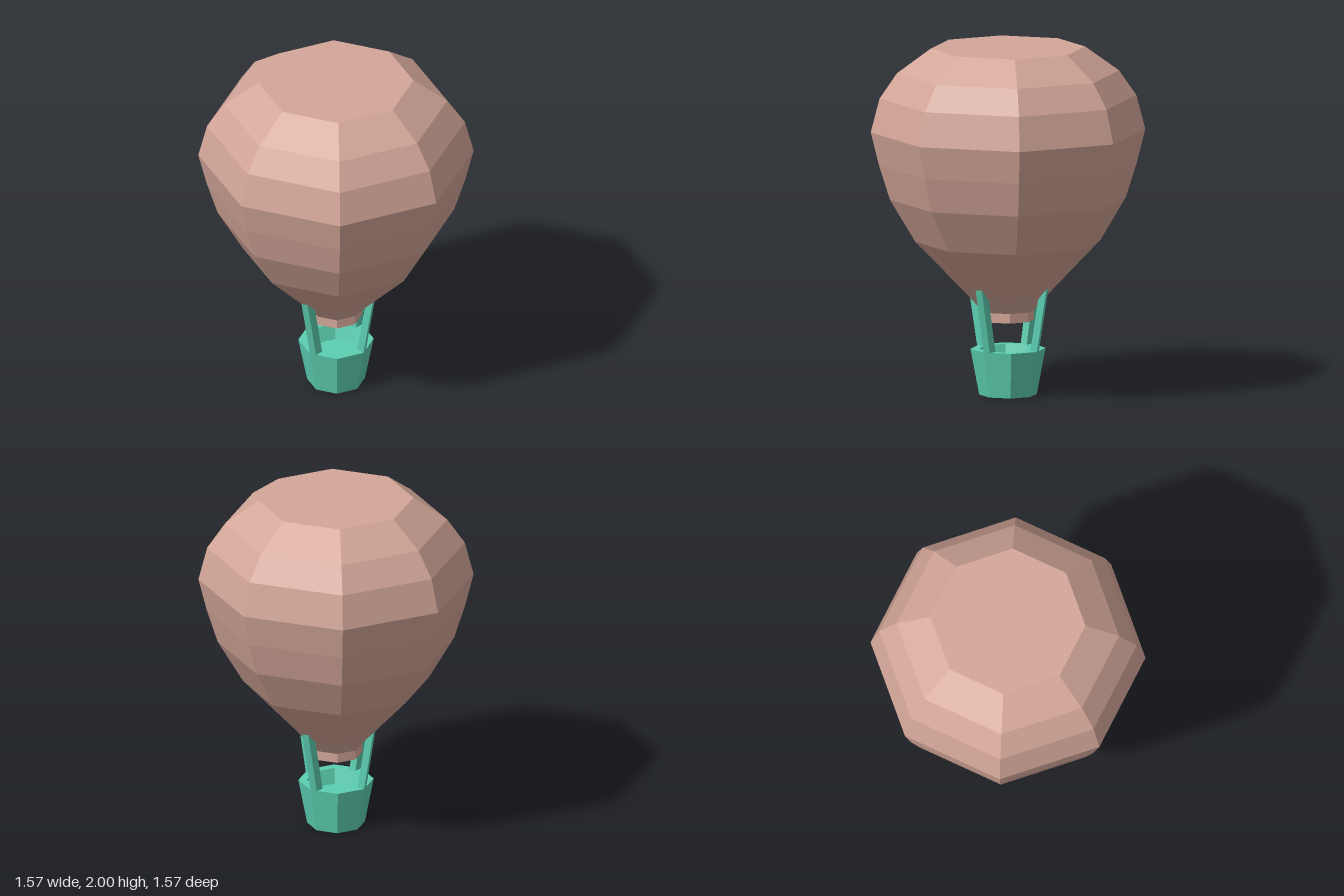
import * as THREE from 'three';

const SIDES = 8;
const brown = new THREE.MeshStandardMaterial({ color: 0xd3a698, flatShading: true });
const green = new THREE.MeshStandardMaterial({ color: 0x5cceb0, flatShading: true });

// Eight-sided lathe; profile of [radius, y] running upwards on the outside
function lathe(name, profile, material) {
  const points = profile.map(([r, y]) => new THREE.Vector2(r, y));
  const mesh = new THREE.Mesh(new THREE.LatheGeometry(points, SIDES), material);
  mesh.name = name;
  return mesh;
}

// Leaning strut standing on one corner of the basket rim, running along the rim facet
function strutGeometry() {
  const geometry = new THREE.BoxGeometry(1, 1, 1);
  const p = geometry.attributes.position;
  const width = 0.037, a = Math.PI / 8;
  for (let i = 0; i < p.count; i++) {
    const top = p.getY(i) > 0;
    const outer = p.getX(i) > 0;
    const along = p.getZ(i) < 0 ? width : 0;
    const r = (top ? 0.24 : 0.165) + (outer ? 0.05 : 0);
    p.setXYZ(i, r - along * Math.sin(a), top ? 0.65 : 0.26, -along * Math.cos(a));
  }
  geometry.computeVertexNormals();
  return geometry;
}

export function createModel() {
  const model = new THREE.Group();
  model.name = 'hotAirBalloon';

  // Envelope with a flat crown
  model.add(lathe('envelope', [
    [0, 0.485], [0.15, 0.485], [0.24, 0.585], [0.53, 0.885], [0.675, 1.13], [0.738, 1.33],
    [0.785, 1.52], [0.735, 1.715], [0.635, 1.86], [0.442, 2], [0, 2],
  ], brown));

  // Hollow neck under the envelope
  model.add(lathe('neck', [
    [0.128, 0.485], [0.128, 0.43], [0.15, 0.43], [0.15, 0.487],
  ], brown));

  // Basket with a thick rim and a recessed floor
  model.add(lathe('basket', [
    [0, 0], [0.165, 0], [0.215, 0.265], [0.165, 0.265], [0.135, 0.18], [0, 0.18],
  ], green));

  // Four struts joining basket and envelope
  const struts = new THREE.Group();
  struts.name = 'struts';
  const geometry = strutGeometry();
  for (let i = 0; i < 4; i++) {
    const strut = new THREE.Mesh(geometry, green);
    strut.name = 'strut';
    strut.rotation.y = i * Math.PI / 2;
    struts.add(strut);
  }
  model.add(struts);

  return model;
}
